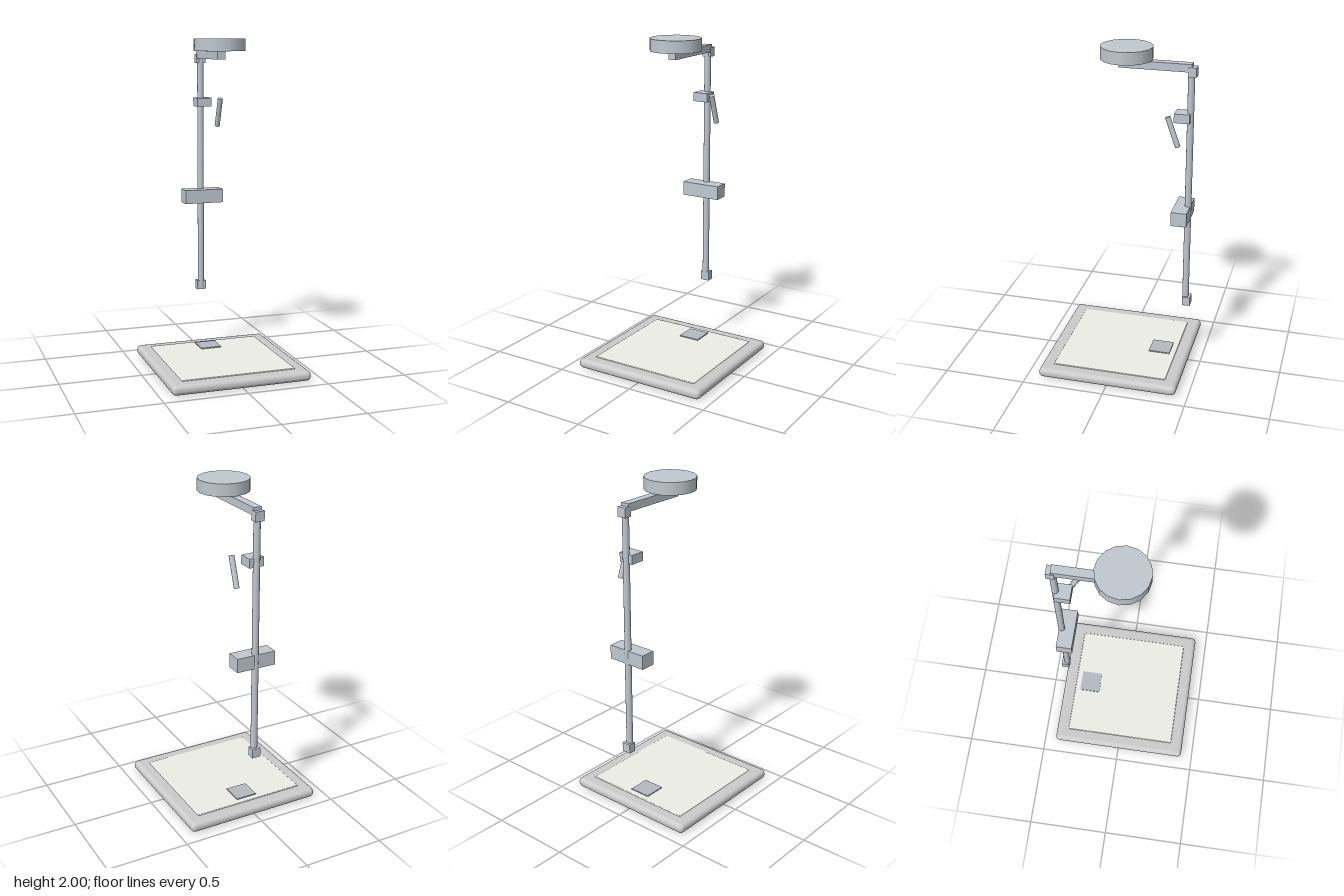
import * as THREE from 'three';
import { RoundedBoxGeometry } from 'three/addons/geometries/RoundedBoxGeometry.js';

export function createModel() {
  const group = new THREE.Group();
  const grey = new THREE.MeshStandardMaterial({ color: 0xcccccc });
  const metal = new THREE.MeshStandardMaterial({ color: 0xc0c8d0 });
  const floorMat = new THREE.MeshStandardMaterial({ color: 0xeeeee8 });
  const drainMat = new THREE.MeshStandardMaterial({ color: 0xb4babf });

  const add = (name, geometry, material, x, y, z) => {
    const mesh = new THREE.Mesh(geometry, material);
    mesh.name = name;
    mesh.position.set(x, y, z);
    group.add(mesh);
    return mesh;
  };
  const box = (name, w, h, d, x, y, z, material = metal) =>
    add(name, new THREE.BoxGeometry(w, h, d), material, x, y, z);
  const rod = (name, r, h, sides, x, y, z) =>
    add(name, new THREE.CylinderGeometry(r, r, h, sides), metal, x, y, z);

  // Shower tray with a slightly raised floor panel and drain cover
  add('tray', new RoundedBoxGeometry(0.854, 0.06, 0.854, 4, 0.027), grey, 0, 0.03, 0);
  add('trayFloor', new RoundedBoxGeometry(0.7, 0.025, 0.7, 2, 0.005), floorMat, 0, 0.053, 0);
  box('drainCover', 0.132, 0.012, 0.132, 0, 0.066, -0.249, drainMat);

  // Riser pole and its wall brackets
  rod('riserPole', 0.02, 1.48, 12, 0, 1.145, -0.395);
  for (const [name, y] of [['lowerBracket', 0.432], ['upperBracket', 1.878]])
    box(name, 0.056, 0.056, 0.047, 0, y, -0.4035);

  // Mixer valve
  box('mixerValve', 0.246, 0.085, 0.094, 0, 1.018, -0.363);

  // Sliding holder and tilted hand shower
  box('slidingHolder', 0.092, 0.054, 0.091, 0, 1.61, -0.3525);
  rod('handShower', 0.016, 0.185, 12, 0.094, 1.546, -0.313).rotation.x = 0.34;

  // Overhead arm and rain head
  box('overheadArm', 0.05, 0.046, 0.42, 0, 1.901, -0.19);
  rod('rainHead', 0.152, 0.073, 16, 0, 1.9635, -0.02);

  return group;
}
